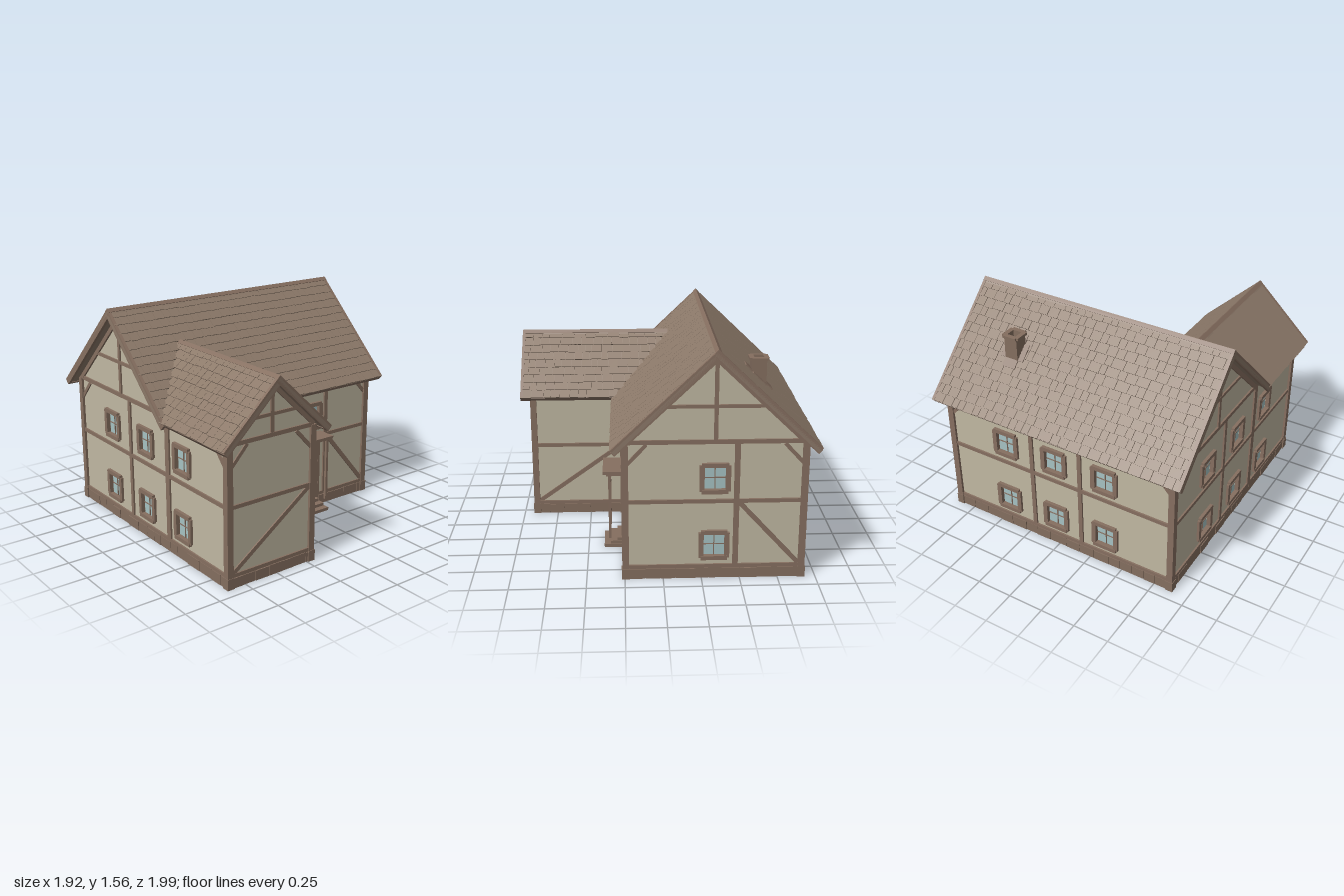
import * as THREE from 'three';
import { mergeGeometries } from 'three/addons/utils/BufferGeometryUtils.js';

const paint = (name, color) => {
  const m = new THREE.MeshStandardMaterial({ color });
  m.name = name;
  return m;
};

export function createModel() {
  const timber = paint('timber brown', 0x866f60);
  const roofing = paint('shingle brown', 0x8c7969);
  const plaster = paint('cream plaster', 0xc0b8a2);
  const stone = paint('foundation brown', 0x846e5f);
  const doorPaint = paint('door brown', 0x806a5b);
  const glass = paint('pale blue glass', 0xa6c2c3);
  const iron = paint('dark iron', 0x4a4039);

  const house = new THREE.Group();
  house.name = 'timberFramedHouse';

  let seed = 7;
  const rand = () => (seed = (seed * 16807) % 2147483647) / 2147483647;

  const group = (parent, name, x = 0, y = 0, z = 0, yaw = 0) => {
    const g = new THREE.Group();
    g.name = name;
    g.position.set(x, y, z);
    g.rotation.order = 'YXZ';
    g.rotation.y = yaw;
    parent.add(g);
    return g;
  };
  const add = (parent, name, geo, mat) => {
    const m = new THREE.Mesh(geo, mat);
    m.name = name;
    parent.add(m);
    return m;
  };
  // Box given by its two opposite corners
  const box = (parent, name, mat, x0, x1, y0, y1, z0, z1) => {
    const m = add(parent, name, new THREE.BoxGeometry(x1 - x0, y1 - y0, z1 - z0), mat);
    m.position.set((x0 + x1) / 2, (y0 + y1) / 2, (z0 + z1) / 2);
    return m;
  };
  // Timber lying on a wall between two points
  const beam = (wall, x0, y0, x1, y1, w = 0.03, out = 0.012) => {
    const len = Math.hypot(x1 - x0, y1 - y0);
    const m = add(wall, 'timberBeam', new THREE.BoxGeometry(len, w, out + 0.01), timber);
    m.position.set((x0 + x1) / 2, (y0 + y1) / 2, (out - 0.01) / 2);
    m.rotation.z = Math.atan2(y1 - y0, x1 - x0);
  };

  const UPPER = 0.70, LOWER = 0.235;
  const addWindow = (wall, u, v) => {
    const g = group(wall, 'window', u, v, 0);
    for (const s of [-1, 1]) {
      box(g, 'windowJamb', timber, s * 0.084 - 0.016, s * 0.084 + 0.016, -0.088, 0.088, -0.01, 0.018);
      box(g, 'windowRail', timber, -0.086, 0.086, s * 0.09 - 0.014, s * 0.09 + 0.014, -0.01, 0.022);
    }
    box(g, 'windowGlass', glass, -0.07, 0.07, -0.08, 0.08, -0.02, -0.012);
    box(g, 'windowMullion', timber, -0.003, 0.003, -0.08, 0.08, -0.022, -0.006);
    box(g, 'windowTransom', timber, -0.07, 0.07, -0.003, 0.003, -0.022, -0.007);
  };

  // Plaster wall with window openings, plinth stones and the horizontal timbers
  const makeWall = (name, x, z, yaw, outline, u0, u1, windows) => {
    const wall = group(house, name, x, 0, z, yaw);
    const shape = new THREE.Shape(outline.map(p => new THREE.Vector2(...p)));
    for (const [u, v] of windows) {
      shape.holes.push(new THREE.Path([[-1, -1], [-1, 1], [1, 1], [1, -1]]
        .map(([a, b]) => new THREE.Vector2(u + a * 0.07, v + b * 0.08))));
      addWindow(wall, u, v);
    }
    const geo = new THREE.ExtrudeGeometry(shape, { depth: 0.025, bevelEnabled: false });
    geo.translate(0, 0, -0.025);
    add(wall, 'plasterWall', geo, plaster);
    box(wall, 'plinth', stone, u0, u1, 0, 0.075, -0.04, 0.006);
    for (let u = u0; u < u1 - 0.01;) {
      const end = Math.min(u1, u + 0.08 + 0.06 * rand());
      box(wall, 'plinthStone', stone, u, end - 0.003, 0, 0.066 + 0.006 * rand(), 0, 0.01 + 0.005 * rand());
      u = end;
    }
    beam(wall, u0, 0.085, u1, 0.085, 0.024);
    beam(wall, u0, 0.543, u1, 0.543, 0.026);
    return wall;
  };
  // Short knee braces below the top of each end post
  const knees = (wall, u0, u1) => {
    beam(wall, u0 + 0.02, 0.80, u0 + 0.14, 0.93, 0.024, 0.01);
    beam(wall, u1 - 0.02, 0.80, u1 - 0.14, 0.93, 0.024, 0.01);
  };
  // Top plate, collar, king post and rafters of a gable
  const gable = (wall, c, half, apex, collarY) => {
    const reach = (apex - collarY) / 0.955 - 0.02;
    beam(wall, c - half, 0.947, c + half, 0.947, 0.028);
    beam(wall, c - reach, collarY, c + reach, collarY, 0.022);
    beam(wall, c, 0.947, c, apex - 0.02, 0.026, 0.011);
    for (const s of [-1, 1]) beam(wall, c + s * half, apex - 0.955 * half - 0.015, c, apex - 0.015, 0.035, 0.014);
  };
  const gableOutline = (c, half, apex) => [[c - half, 0.05], [c + half, 0.05],
    [c + half, apex - 0.955 * half], [c, apex], [c - half, apex - 0.955 * half]];

  // Front walls
  const front = makeWall('mainFrontWall', 0, 0.25, 0,
    [[-0.21, 0.05], [0.87, 0.05], [0.87, 0.95], [-0.21, 0.95]], -0.21, 0.87, [[0.34, UPPER]]);
  beam(front, 0.475, 0.09, 0.475, 0.94);
  beam(front, 0.49, 0.53, 0.85, 0.1, 0.03, 0.01);
  beam(front, 0.85, 0.80, 0.73, 0.93, 0.024, 0.01);
  const wingFront = makeWall('wingFrontWall', 0, 0.91, 0, gableOutline(-0.54, 0.33, 1.285), -0.87, -0.21, []);
  gable(wingFront, -0.54, 0.33, 1.285, 1.08);
  knees(wingFront, -0.87, -0.21);
  beam(wingFront, -0.84, 0.1, -0.24, 0.53, 0.03, 0.01);

  // Right walls
  const wingRight = makeWall('wingRightWall', -0.21, 0, Math.PI / 2,
    [[-0.91, 0.05], [-0.25, 0.05], [-0.25, 0.96], [-0.91, 0.96]], -0.91, -0.25, []);
  beam(wingRight, -0.88, 0.1, -0.28, 0.53, 0.03, 0.01);
  const right = makeWall('rightGableWall', 0.87, 0, Math.PI / 2,
    gableOutline(0.33, 0.58, 1.5), -0.25, 0.91, [[0.33, UPPER], [0.33, LOWER]]);
  gable(right, 0.33, 0.58, 1.5, 1.18);
  knees(right, -0.25, 0.91);
  beam(right, 0.47, 0.09, 0.47, 0.94, 0.036);
  beam(right, 0.49, 0.53, 0.88, 0.1, 0.03, 0.01);

  // Left wall, shared by main block and wing
  const rows = us => us.flatMap(u => [[u, UPPER], [u, LOWER]]);
  const left = makeWall('leftWall', -0.87, 0, -Math.PI / 2,
    [[-0.91, 0.05], [0.91, 0.05], [0.91, 0.96], [0.25, 0.96], [-0.33, 1.5], [-0.91, 0.946]],
    -0.91, 0.91, rows([-0.46, -0.02, 0.42]));
  gable(left, -0.33, 0.58, 1.5, 1.18);
  knees(left, -0.91, 0.91);
  beam(left, -0.22, 0.09, -0.22, 0.94);
  beam(left, 0.25, 0.09, 0.25, 0.94, 0.045);

  // Back wall
  const back = makeWall('backWall', 0, -0.91, Math.PI,
    [[-0.87, 0.05], [0.87, 0.05], [0.87, 0.95], [-0.87, 0.95]], -0.87, 0.87, rows([-0.41, -0.02, 0.37]));
  knees(back, -0.87, 0.87);
  for (const u of [-0.2, 0.18]) beam(back, u, 0.09, u, 0.94);

  // Corner posts on corner stones
  for (const [x, z] of [[0.865, 0.245], [0.865, -0.905], [-0.865, -0.905], [-0.865, 0.905], [-0.215, 0.905], [-0.2, 0.255]]) {
    box(house, 'cornerPost', timber, x - 0.022, x + 0.022, 0.06, 0.945, z - 0.022, z + 0.022);
    box(house, 'cornerStone', stone, x - 0.026, x + 0.026, 0, 0.075, z - 0.026, z + 0.026);
  }

  // Door, porch and steps
  const porch = group(house, 'entrance', 0.295, 0, 0.25);
  box(porch, 'doorLeaf', doorPaint, -0.08, 0.08, 0.06, 0.5, -0.035, 0.006);
  for (const [y0, y1] of [[0.1, 0.23], [0.26, 0.45]]) box(porch, 'doorPanel', doorPaint, -0.055, 0.055, y0, y1, 0, 0.012);
  box(porch, 'doorHead', timber, -0.105, 0.105, 0.49, 0.525, -0.01, 0.02);
  box(porch, 'doorHandle', iron, 0.06, 0.07, 0.23, 0.245, 0.005, 0.02);
  for (const s of [-1, 1]) {
    box(porch, 'doorJamb', timber, s * 0.092 - 0.013, s * 0.092 + 0.013, 0.06, 0.5, -0.01, 0.02);
    box(porch, 'porchPost', timber, s * 0.118 - 0.009, s * 0.118 + 0.009, 0.075, 0.55, 0.09, 0.108);
    box(porch, 'porchSidePost', timber, s * 0.118 - 0.009, s * 0.118 + 0.009, 0.075, 0.55, 0, 0.016);
  }
  box(porch, 'porchBeam', timber, -0.127, 0.127, 0.54, 0.556, -0.01, 0.12);
  box(porch, 'porchCanopy', timber, -0.138, 0.138, 0.556, 0.575, -0.01, 0.145);
  [0.14, 0.095, 0.05].forEach((z, i) =>
    box(porch, 'doorStep', stone, -0.113 + i * 0.008, 0.113 - i * 0.008, i * 0.022, (i + 1) * 0.022, -0.03, z));

  // Roof slopes: u runs along the eave, v up the slope
  const pitch = Math.atan(0.955), cos = Math.cos(pitch);
  const makeSlope = (name, x, y, z, yaw, run, outline, spans, barges, eave) => {
    const L = run / cos;
    const g = group(house, name, x, y, z, yaw);
    g.rotation.x = pitch - Math.PI / 2;
    const slab = new THREE.ExtrudeGeometry(
      new THREE.Shape(outline.map(([u, d]) => new THREE.Vector2(u, d / cos))), { depth: 0.026, bevelEnabled: false });
    slab.translate(0, 0, -0.038);
    add(g, 'roofBoards', slab, roofing);
    const count = Math.round(L / 0.0656), step = L / count, tiles = [];
    for (let i = 0; i < count; i++) {
      for (const [a, b] of spans((i + 0.5) * step * cos)) {
        for (let u = a; u < b - 0.005;) {
          const end = Math.min(b, u + 0.045 + 0.05 * rand());
          const v0 = i * step - 0.006 * rand(), len = Math.min(step * 1.3, L - v0);
          const t = new THREE.BoxGeometry(end - u - 0.003, len, 0.009);
          t.rotateX(-0.09);
          t.translate((u + end) / 2, v0 + len / 2, -0.007 + 0.002 * rand());
          tiles.push(t);
          u = end;
        }
      }
    }
    add(g, 'shingles', mergeGeometries(tiles), roofing);
    for (const u of barges) box(g, 'bargeBoard', timber, u - 0.01, u + 0.01, 0, L, -0.045, 0.002);
    box(g, 'eaveBoard', timber, eave[0], eave[1], -0.004, 0.014, -0.043, -0.008);
  };

  const E = 0.955, MAIN = 0.665, WING = 0.415;
  makeSlope('mainRoofBack', 0, 0.92, -0.995, Math.PI, MAIN,
    [[-E, 0], [E, 0], [E, MAIN], [-E, MAIN]], () => [[-E, E]], [-0.945, 0.945], [-E, E]);
  // Front slope is notched where the wing roof meets it
  makeSlope('mainRoofFront', 0, 0.92, 0.335, 0, MAIN,
    [[-0.105, 0], [E, 0], [E, MAIN], [-E, MAIN], [-E, 0.02], [-0.54, 0.435]],
    d => {
      const h = Math.max(0, 0.435 - d);
      return h ? [[-E, -0.54 - h], [-0.54 + h, E]] : [[-E, E]];
    }, [-0.945, 0.945], [-0.12, E]);
  makeSlope('wingRoofRight', -0.125, 0.939, 0, Math.PI / 2, WING,
    [[-0.99, 0], [-0.3, 0], [0.115, WING], [-0.99, WING]], d => [[-0.99, d - 0.31]], [-0.98], [-0.99, -0.31]);
  makeSlope('wingRoofLeft', -E, 0.939, 0, -Math.PI / 2, WING,
    [[0.3, 0], [0.99, 0], [0.99, WING], [-0.115, WING]], d => [[0.31 - d, 0.99]], [0.98], [0.31, 0.99]);

  // Ridge caps, square bars set on edge
  const ridge = (name, len, x, y, z, yaw) => {
    const geo = new THREE.BoxGeometry(len, 0.03, 0.03);
    geo.rotateX(Math.PI / 4);
    add(group(house, name, x, y, z, yaw), 'ridgeCap', geo, timber);
  };
  ridge('mainRidge', 1.91, 0, 1.54, -0.33, 0);
  ridge('wingRidge', 1.08, -0.54, 1.318, 0.45, Math.PI / 2);

  // Chimney with open top, rim and flashing on the slope
  const chimney = group(house, 'chimney', 0.49, 0, -0.637);
  for (let i = 0; i < 4; i++) {
    const side = group(chimney, 'chimneySide', 0, 0, 0, i * Math.PI / 2);
    box(side, 'chimneyWall', stone, -0.049, 0.049, 1.12, 1.385, 0.034, 0.049);
    box(side, 'chimneyRim', stone, -0.05, 0.05, 1.378, 1.396, 0.032, 0.064);
  }
  box(chimney, 'chimneyFloor', stone, -0.04, 0.04, 1.3, 1.31, -0.04, 0.04);
  const flashing = group(chimney, 'chimneyFlashing', 0, 1.262, 0, Math.PI);
  flashing.rotation.x = pitch - Math.PI / 2;
  box(flashing, 'flashingAcross', stone, -0.088, 0.088, -0.06, 0.06, -0.02, 0.006);
  box(flashing, 'flashingAlong', stone, -0.05, 0.05, -0.122, 0.122, -0.02, 0.007);

  return house;
}
